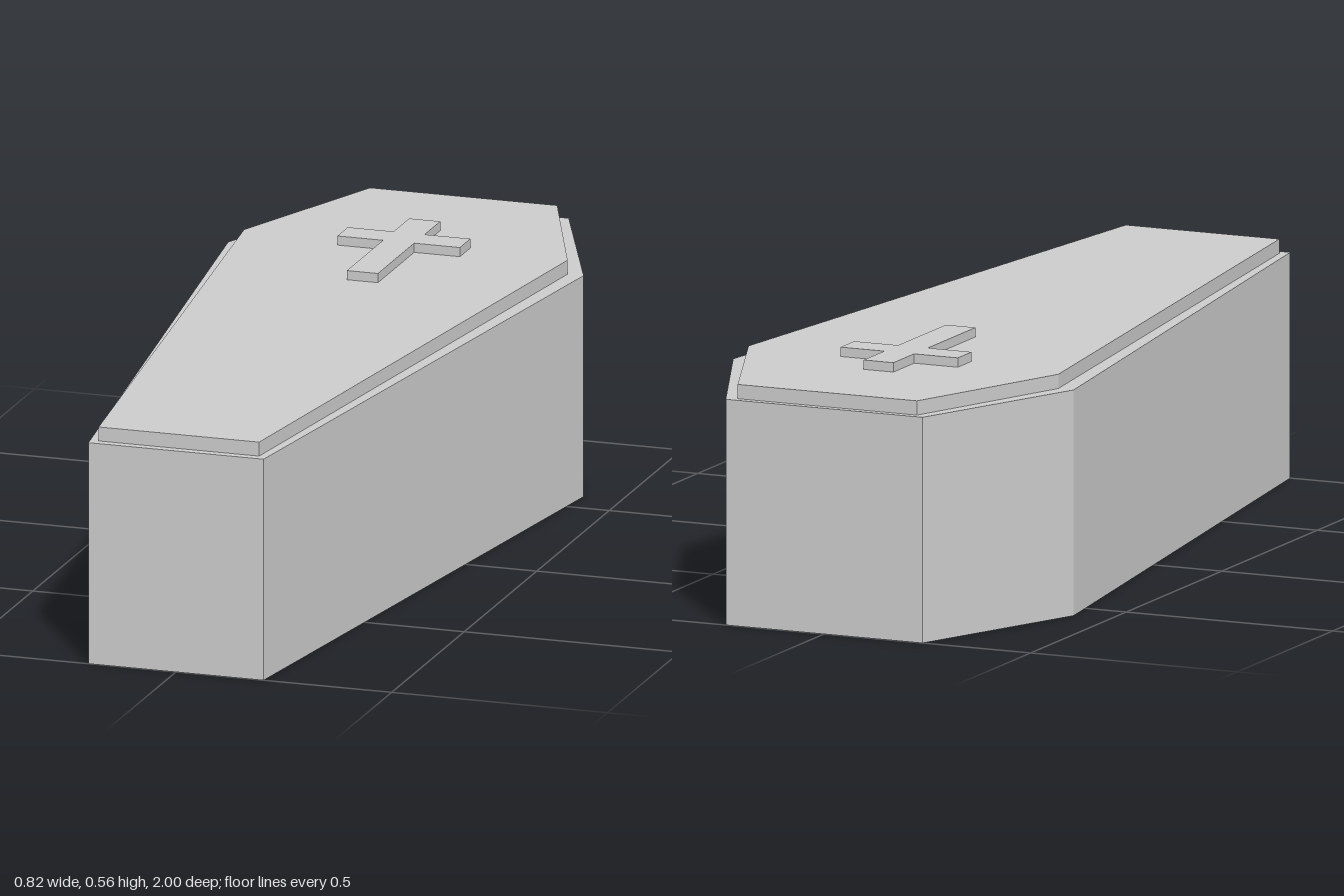
import * as THREE from 'three';

const material = new THREE.MeshStandardMaterial({ color: 0xcccccc, flatShading: true });

// Upright slab from the right half (x, z) of a symmetric outline, listed front to back
function slab(name, half, bottom, top) {
  const mirrored = half.map(([x, z]) => [-x, z]).reverse();
  const outline = [...half, ...mirrored].map(([x, z]) => new THREE.Vector2(x, -z));
  const geometry = new THREE.ExtrudeGeometry(new THREE.Shape(outline), {
    depth: top - bottom,
    bevelEnabled: false,
  });
  geometry.rotateX(-Math.PI / 2).translate(0, bottom, 0);
  const mesh = new THREE.Mesh(geometry, material);
  mesh.name = name;
  return mesh;
}

export function createModel() {
  const model = new THREE.Group();
  model.name = 'coffin';

  // Six-sided box, widest at the shoulders
  model.add(slab('body', [[0.203, 1], [0.412, -0.585], [0.238, -1]], 0, 0.506));

  // Slightly smaller lid on top
  model.add(slab('lid', [[0.186, 0.98], [0.375, -0.585], [0.217, -0.983]], 0.506, 0.538));

  // Raised cross on the lid
  model.add(slab('cross', [
    [0.036, -0.285], [0.036, -0.535], [0.142, -0.535],
    [0.142, -0.607], [0.036, -0.607], [0.036, -0.715],
  ], 0.538, 0.559));

  return model;
}
